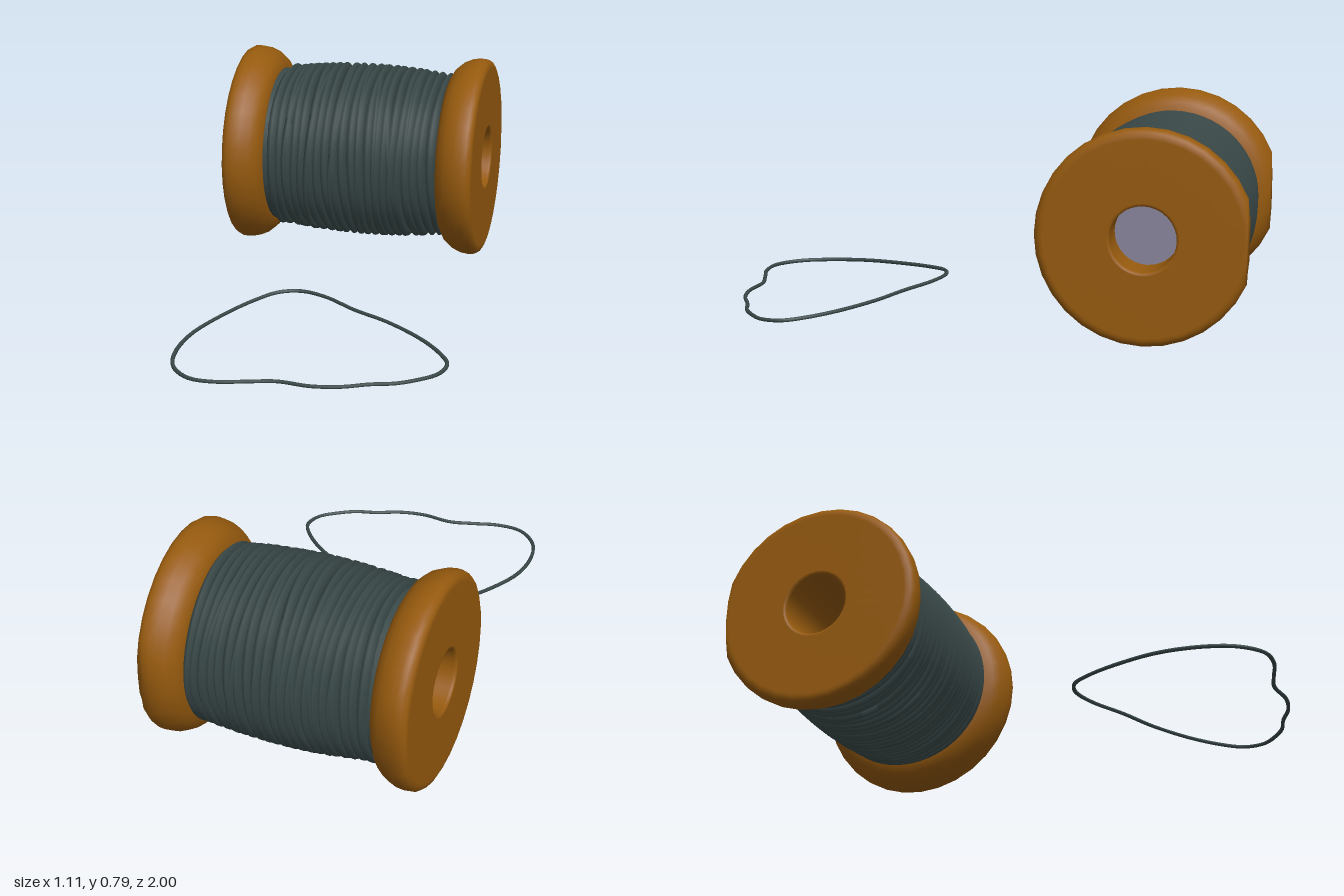
import * as THREE from 'three';

const CENTRE = { y: 0.402, z: -0.632 }; // spool axis, parallel to x

const wood = new THREE.MeshStandardMaterial({ color: 0x965a0e });
wood.name = 'warm wood';
const thread = new THREE.MeshStandardMaterial({ color: 0x3a4949 });
thread.name = 'dark teal thread';
const lavender = new THREE.MeshStandardMaterial({ color: 0x8a859c, side: THREE.DoubleSide });
lavender.name = 'lavender grey';

function part(geometry, material, name) {
  const mesh = new THREE.Mesh(geometry, material);
  mesh.name = name;
  return mesh;
}

// Lathe turned so that its axis points along +x (side 1) or -x (side -1)
function turned(points, side) {
  const g = new THREE.LatheGeometry(points.map(([r, h]) => new THREE.Vector2(r, h)), 32);
  return g.rotateZ(-side * Math.PI / 2);
}

// Rounded end disc with a bore; the back is worn flat
function flange(side, inner) {
  const profile = [
    [0.12, 0], [0.3, 0], [0.325, 0.002], [0.355, 0.018], [0.378, 0.045], [0.393, 0.08],
    [0.397, 0.11], [0.395, 0.132], [0.385, 0.147], [0.372, 0.153], [0.36, 0.154],
    [0.132, 0.154], [0.126, 0.153], [0.121, 0.148], [0.12, 0.14], [0.12, 0],
  ];
  const g = turned(profile.map(([r, h]) => [r, h + inner]), side);
  const p = g.attributes.position;
  for (let i = 0; i < p.count; i++) p.setZ(i, Math.max(p.getZ(i), -1 - CENTRE.z));
  return g;
}

// One turn of thread around the x axis, leaning and wavering along x
function turn(x, radius, thickness, lean, seed) {
  const g = new THREE.TorusGeometry(radius, thickness, 4, 56).rotateY(Math.PI / 2);
  const p = g.attributes.position;
  for (let i = 0; i < p.count; i++) {
    const a = Math.atan2(p.getZ(i), p.getY(i));
    const sway = lean * Math.sin(a + seed * 1.7) + 0.004 * Math.sin(3 * a + seed * 2.3);
    p.setX(i, p.getX(i) + x + sway);
  }
  return g;
}

// The winding swells gently towards the middle
const swell = (x) => 0.02 * Math.max(0, 1 - ((x + 0.03) / 0.3) ** 2);

export function createModel() {
  const model = new THREE.Group();
  model.name = 'threadSpool';

  const spool = new THREE.Group();
  spool.name = 'spool';
  spool.position.set(0, CENTRE.y, CENTRE.z);
  model.add(spool);

  // Wooden ends, bore lining and the plug inside the bore
  spool.add(part(flange(1, 0.3), wood, 'rightEnd'));
  spool.add(part(flange(-1, 0.4), wood, 'leftEnd'));
  spool.add(part(turned([[0.12, 0.31], [0.12, -0.41]], 1), wood, 'boreLining'));
  const plug = part(new THREE.CircleGeometry(0.12, 32).rotateY(Math.PI / 2), lavender, 'borePlug');
  plug.position.x = 0.325;
  spool.add(plug);

  // Solid body of the winding
  spool.add(part(turned([[0.312, -0.402], [0.312, 0.302]], 1), thread, 'windingBody'));

  // Rows of thread side by side
  const winding = new THREE.Group();
  winding.name = 'winding';
  const rows = 21;
  for (let i = 0; i < rows; i++) {
    const x = -0.365 + (0.65 * i) / (rows - 1);
    const lean = 0.005 + 0.004 * Math.sin(i * 2.1);
    winding.add(part(turn(x, 0.307 + swell(x), 0.024, lean, 1 + i * 0.25), thread, 'threadTurn'));
  }

  // Loose turns crossing over the rows
  for (let i = 0; i < 7; i++) {
    const x = -0.28 + 0.08 * i;
    const lean = i % 2 ? 0.03 : -0.025;
    winding.add(part(turn(x, 0.313 + swell(x), 0.017, lean, i * 1.3), thread, 'crossingTurn'));
  }
  spool.add(winding);

  // Loose loop of thread lying in front, as x and z pairs
  const loop = [
    [-0.1, 0.222], [0, 0.25], [0.13, 0.33], [0.27, 0.4], [0.42, 0.51], [0.51, 0.61],
    [0.546, 0.68], [0.53, 0.76], [0.47, 0.82], [0.4, 0.865], [0.32, 0.89], [0.22, 0.935],
    [0.12, 0.952], [0, 0.94], [-0.1, 0.965], [-0.2, 0.992], [-0.3, 0.985], [-0.38, 0.91],
    [-0.413, 0.8], [-0.405, 0.64], [-0.34, 0.47], [-0.25, 0.32], [-0.18, 0.245],
  ].map(([x, z]) => new THREE.Vector3(x, 0.045 + 0.05 * ((1 - z) / 0.78) ** 1.8, z));
  const path = new THREE.CatmullRomCurve3(loop, true);
  model.add(part(new THREE.TubeGeometry(path, 120, 0.0075, 6, true), thread, 'looseLoop'));

  return model;
}
